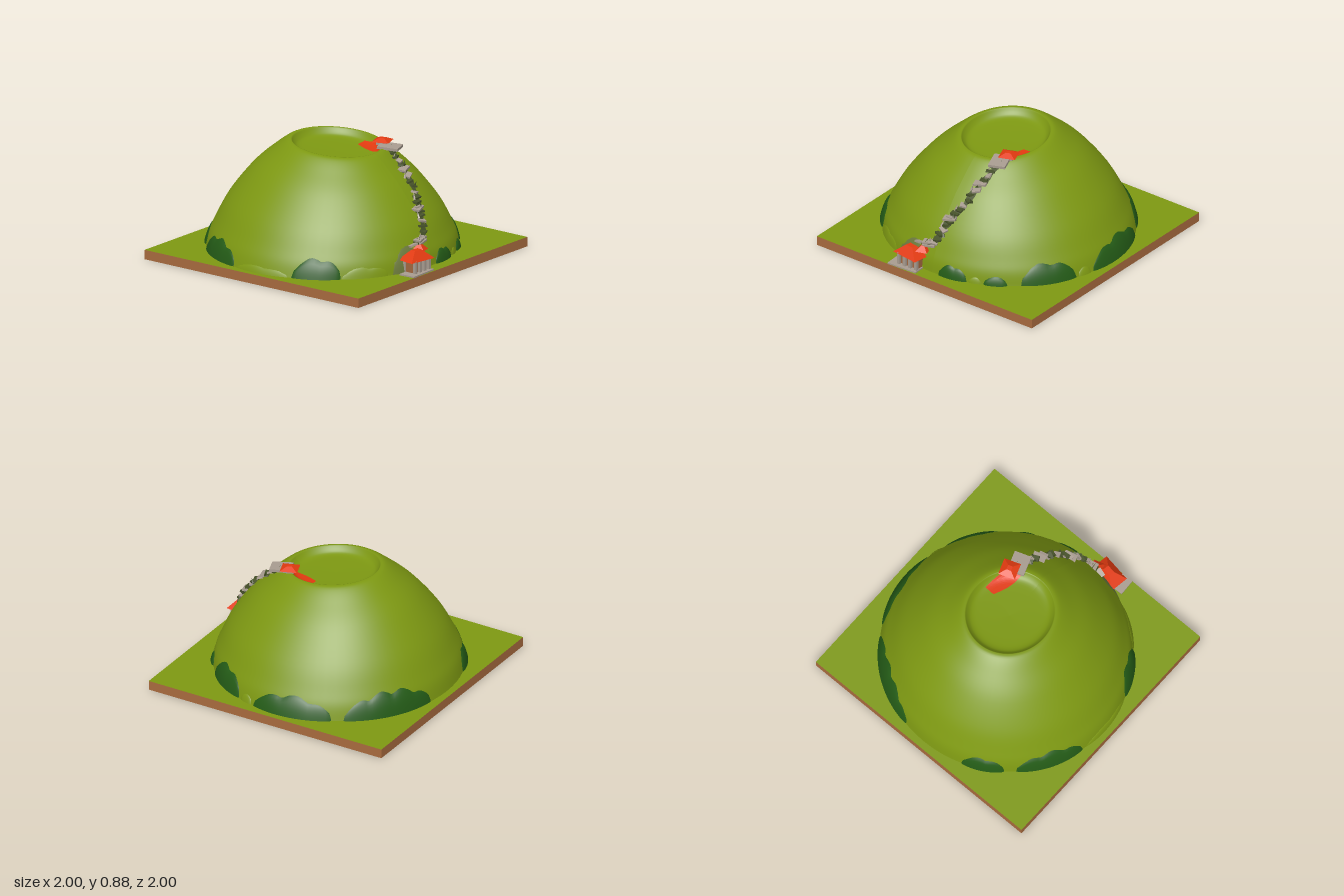
import * as THREE from 'three';

const mat = (name, color, side = THREE.FrontSide, flatShading = false) =>
  Object.assign(new THREE.MeshStandardMaterial({ color, side, flatShading }), { name });
const M = {
  grass: mat('grass', 0x7d9812, THREE.DoubleSide),
  bush: mat('bush', 0x235a16, THREE.DoubleSide),
  earth: mat('earth', 0xa86b3e),
  roof: mat('roof', 0xe23a10, THREE.DoubleSide, true),
  stone: mat('stone', 0xa89c90, THREE.DoubleSide, true),
  shade: mat('mossy rock', 0x6c7a3c, THREE.DoubleSide),
  moss: mat('dark moss', 0x47522a, THREE.DoubleSide, true),
  wood: mat('wood', 0xa2673f),
};

// Outer slope and crater as radius / height profiles
const slope = [[0.945, 0.06], [0.915, 0.16], [0.87, 0.25], [0.77, 0.42], [0.6, 0.63], [0.45, 0.77], [0.36, 0.843], [0.32, 0.855]];
const crater = [[0.32, 0.855], [0.3, 0.825], [0.27, 0.803], [0.2, 0.795], [0.001, 0.79]];
const smooth = (pts, n) => new THREE.SplineCurve(pts.map((p) => new THREE.Vector2(...p))).getPoints(n);
const slopePts = smooth(slope, 36), craterPts = smooth(crater, 14);

const radiusAt = (y) => {
  const i = Math.max(1, slopePts.findIndex((p) => p.y >= y));
  const a = slopePts[i - 1], b = slopePts[i];
  return a.x + (b.x - a.x) * (y - a.y) / (b.y - a.y);
};
const craterHeight = (r) => {
  if (r >= 0.32) return 0.855;
  const i = Math.max(1, craterPts.findIndex((p) => p.x <= r));
  const a = craterPts[i - 1], b = craterPts[i];
  return a.y + (b.y - a.y) * (r - a.x) / (b.x - a.x);
};

// Shifts and tilts the round hill so its rim is lower at the front
function place(x, y, z) {
  const k = THREE.MathUtils.clamp((y - 0.07) / 0.78, 0, 1);
  const zz = z * (0.98 + 0.09 * k) - 0.025 + 0.04 * k;
  return new THREE.Vector3(x - 0.007, y - 0.075 * zz * k, zz);
}
function onSlope(deg, y, off = 0) {
  const a = THREE.MathUtils.degToRad(deg), r = radiusAt(y) + off;
  return place(r * Math.cos(a), y, r * Math.sin(a));
}

// Surface from a rule over u, v in 0..1
function sheet(nu, nv, rule) {
  const pos = [], idx = [];
  for (let i = 0; i <= nu; i++) for (let j = 0; j <= nv; j++) {
    pos.push(...rule(i / nu, j / nv).toArray());
    if (i < nu && j < nv) {
      const a = i * (nv + 1) + j, b = a + nv + 1;
      idx.push(a, a + 1, b, b, a + 1, b + 1);
    }
  }
  const g = new THREE.BufferGeometry();
  g.setAttribute('position', new THREE.Float32BufferAttribute(pos, 3));
  g.setIndex(idx);
  g.computeVertexNormals();
  return g;
}

// Lumpy growth hugging the foot of the hill
function bushGeometry(a0, a1, top, lobes, bulge) {
  return sheet(lobes * 8, 7, (u, v) => {
    const lump = 0.8 + 0.2 * Math.abs(Math.sin(lobes * Math.PI * u + 0.5));
    const h = (top - 0.07) * Math.pow(Math.sin(Math.PI * u) + 1e-4, 0.45) * lump / 0.97;
    const edge = Math.pow(Math.max(0, Math.sin(Math.PI * u)), 0.4);
    const off = -0.006 + (bulge + 0.006) * edge * Math.sqrt(1 - v * v);
    return onSlope(a0 + (a1 - a0) * u, 0.068 + h * v, off);
  });
}

export function createModel() {
  const model = new THREE.Group();
  let seed = 7;
  const rnd = () => ((seed = (seed * 16807) % 2147483647) / 2147483647) - 0.5;
  const add = (parent, name, geo, material, p = [0, 0, 0], r = [0, 0, 0]) => {
    const m = new THREE.Mesh(geo, material);
    m.name = name;
    m.position.set(...p);
    m.rotation.set(...r);
    parent.add(m);
    return m;
  };
  const box = (parent, name, size, material, p, r) => add(parent, name, new THREE.BoxGeometry(...size), material, p, r);
  // Four-sided hipped roof
  const hip = (parent, w, h, d, p, r) => {
    const g = new THREE.CylinderGeometry(0.2, Math.SQRT1_2, 1, 4).rotateY(Math.PI / 4).scale(w, h, d);
    return add(parent, 'roof', g, M.roof, p, r);
  };

  // Ground slab: earth sides, grass above and below
  box(model, 'groundSlab', [2, 0.072, 2], [M.earth, M.earth, M.grass, M.grass, M.earth, M.earth], [0, 0.036, 0]);

  // Hill with crater
  const hill = new THREE.LatheGeometry([...slopePts, ...craterPts.slice(1)], 72);
  const hp = hill.attributes.position;
  for (let i = 0; i < hp.count; i++) {
    const v = place(hp.getX(i), hp.getY(i), hp.getZ(i));
    hp.setXYZ(i, v.x, v.y, v.z);
  }
  hill.computeVertexNormals();
  add(model, 'hill', hill, M.grass);

  // Bushes: start angle, end angle, top height, lumps
  const bushes = new THREE.Group();
  bushes.name = 'bushes';
  model.add(bushes);
  [[-79, -33, 0.25, 4], [-29, 12, 0.23, 3], [20, 48, 0.245, 2], [53, 65, 0.15, 1], [72, 87, 0.19, 2],
    [137, 161, 0.24, 2], [192, 226, 0.22, 3], [230, 251, 0.2, 2]]
    .forEach(([a, b, h, n]) => add(bushes, 'bush', bushGeometry(a, b, h, n, 0.018), M.bush));
  [[114, 138, 0.17, 2], [65, 72, 0.13, 1], [12, 20, 0.14, 1], [161, 192, 0.13, 2]]
    .forEach(([a, b, h, n]) => add(bushes, 'grassMound', bushGeometry(a, b, h, n, 0.009), M.grass));
  add(model, 'rockPatch', bushGeometry(95, 114, 0.3, 1, 0.007), M.shade);

  // Stairway: moss strip with jagged steps
  const route = new THREE.CatmullRomCurve3([[-0.14, 0.26], [-0.03, 0.3], [0.02, 0.41], [0.05, 0.5], [0.11, 0.59], [0.14, 0.69], [0.18, 0.77], [0.2, 0.835]]
    .map(([x, y]) => {
      const r = radiusAt(y);
      return place(x, y, Math.sqrt(r * r - x * x));
    }));
  const stairs = new THREE.Group();
  stairs.name = 'stairway';
  model.add(stairs);
  add(stairs, 'mossStrip', sheet(30, 2, (u, v) => {
    const p = route.getPoint(u), w = 0.025 + 0.008 * Math.sin(u * 40);
    return p.add(new THREE.Vector3((v - 0.5) * 2 * w, 0.006, 0.009));
  }), M.moss);
  const steps = 22;
  for (let i = 0; i < steps; i++) {
    const p = route.getPoint(i / (steps - 1));
    const at = [p.x + rnd() * 0.03, p.y + 0.01, p.z + 0.005];
    box(stairs, 'step', [0.055 + rnd() * 0.03, 0.014, 0.045], i % 3 ? M.moss : M.stone, at, [rnd() * 0.7, rnd(), rnd() * 0.7]);
    if (i % 2) {
      add(stairs, 'railPost', new THREE.ConeGeometry(0.012, 0.055, 4), i % 4 === 1 ? M.moss : M.stone,
        [p.x + (i % 4 === 1 ? 0.028 : -0.028), p.y + 0.022, p.z + 0.008], [rnd(), rnd(), rnd()]);
    }
  }
  for (const y of [0.31, 0.49, 0.7]) {
    const p = route.getPoint((y - 0.26) / 0.575);
    box(stairs, 'landing', [0.1, 0.016, 0.06], M.stone, [p.x, p.y + 0.02, p.z], [0.1, 0.3, 0.1]);
  }

  // Lower hut
  const hut = new THREE.Group();
  hut.name = 'lowerHut';
  model.add(hut);
  box(hut, 'paving', [0.25, 0.012, 0.13], M.stone, [-0.22, 0.077, 0.93], [0, 0.05, 0]);
  box(hut, 'walls', [0.17, 0.1, 0.09], M.wood, [-0.19, 0.125, 0.9]);
  for (const x of [-0.27, -0.215, -0.165, -0.11])
    for (const z of [0.86, 0.955]) box(hut, 'pillar', [0.024, 0.1, 0.024], M.stone, [x, 0.125, z]);
  hip(hut, 0.23, 0.07, 0.15, [-0.195, 0.204, 0.905], [0, -0.15, 0]);
  hip(hut, 0.09, 0.04, 0.1, [-0.11, 0.235, 0.87], [0, 0.3, 0]);
  box(hut, 'gate', [0.1, 0.015, 0.05], M.stone, [-0.07, 0.262, 0.85], [0.1, 0.2, 0.1]);

  // Upper hut on the rim
  const shrine = new THREE.Group();
  shrine.name = 'upperHut';
  model.add(shrine);
  box(shrine, 'terrace', [0.13, 0.02, 0.16], M.stone, [0.195, 0.834, 0.35], [0.06, 0.35, 0]);
  box(shrine, 'walls', [0.08, 0.03, 0.08], M.stone, [0.215, 0.85, 0.27], [0, 0.35, 0]);
  hip(shrine, 0.13, 0.024, 0.13, [0.215, 0.871, 0.265], [0, 0.35, 0]);
  // Red paving running down into the crater
  add(shrine, 'redPaving', sheet(16, 8, (u, v) => {
    const w = 0.055 * (0.7 + 0.3 * Math.sin(Math.PI * u));
    const x = 0.235 - 0.06 * u + (v - 0.5) * 2 * w, z = 0.04 + 0.23 * u;
    return place(x, craterHeight(Math.hypot(x, z)) + 0.008, z);
  }), M.roof);

  return model;
}
